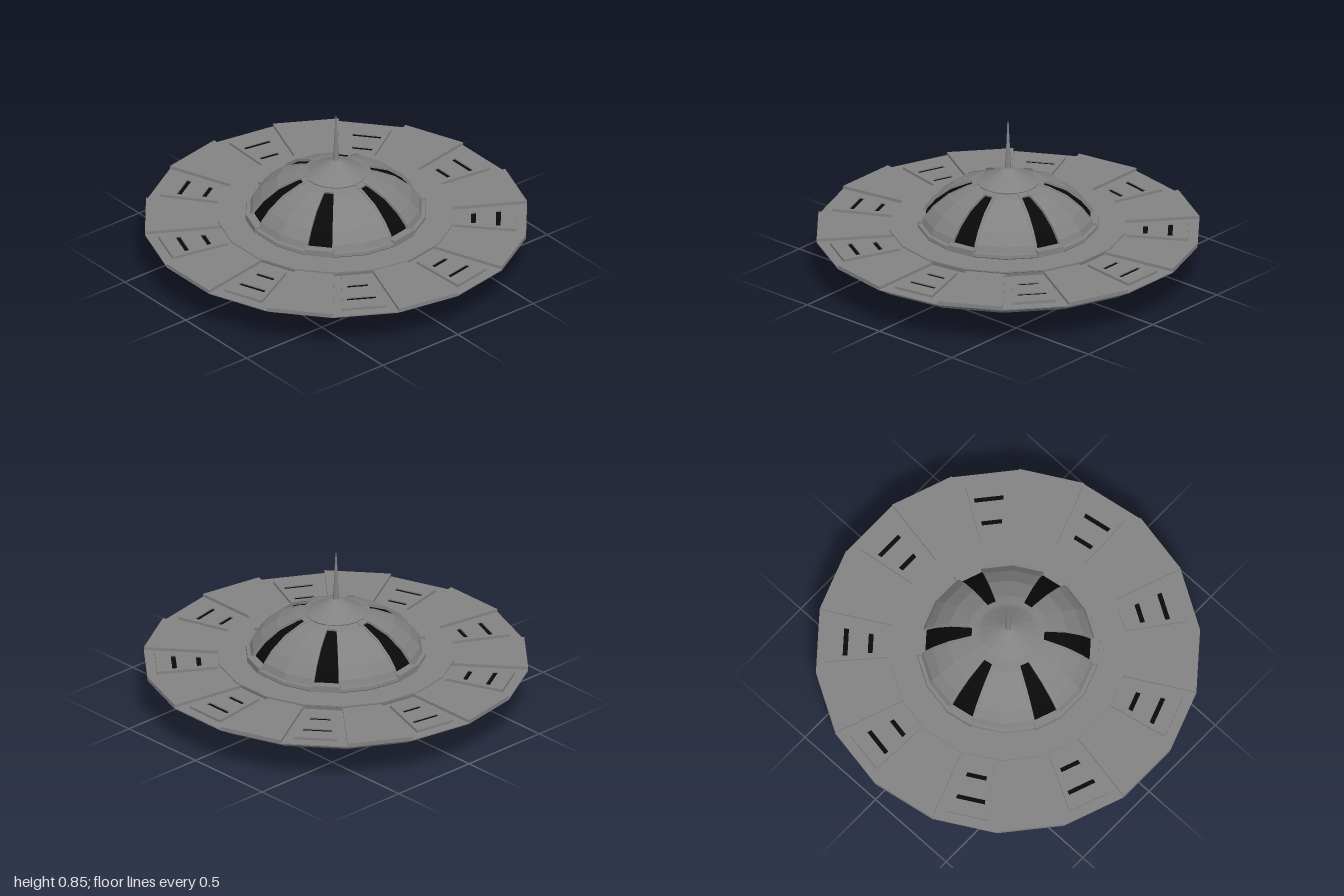
import * as THREE from 'three';

const SIDES = 18;
const rad = THREE.MathUtils.degToRad;
const grey = new THREE.MeshStandardMaterial({ color: 0x828282, flatShading: true });
const black = new THREE.MeshStandardMaterial({ color: 0x090909, flatShading: true, side: THREE.DoubleSide });
const vec = (pts) => pts.map(([x, y]) => new THREE.Vector2(x, y));

function mesh(name, geometry, material = grey) {
  const m = new THREE.Mesh(geometry, material);
  m.name = name;
  return m;
}

// Faceted turned part; profile points [radius, y] run from the bottom up
function turned(name, pts, material = grey) {
  return mesh(name, new THREE.LatheGeometry(vec(pts), SIDES, Math.PI / 2), material);
}

// Part of a turned shell, covering whole facets from a start angle
function shell(name, pts, startDeg, facets, material = grey) {
  const step = 360 / SIDES;
  return mesh(name, new THREE.LatheGeometry(vec(pts), facets, rad(startDeg), rad(step * facets)), material);
}

// Flat slab from a plan outline [x, distance toward the back], with optional holes
function slab(name, outline, y, height, holes = [], material = grey) {
  const shape = new THREE.Shape(vec(outline));
  holes.forEach((h) => shape.holes.push(new THREE.Path(vec(h))));
  const geo = new THREE.ExtrudeGeometry(shape, { depth: height, bevelEnabled: false });
  geo.rotateX(-Math.PI / 2).translate(0, y, 0);
  return mesh(name, geo, material);
}

const trapezoid = (w0, r0, w1, r1) => [[-w0, r0], [w0, r0], [w1, r1], [-w1, r1]];

// Repeats a part around the vertical axis
function ring(parent, name, count, startDeg, build) {
  for (let i = 0; i < count; i++) {
    const g = new THREE.Group();
    g.name = name;
    g.add(...build());
    g.rotation.y = rad(startDeg + (360 / count) * i);
    parent.add(g);
  }
}

export function createModel() {
  const model = new THREE.Group();
  model.name = 'saucer';

  // Hull: bowl, recessed underside, saucer disc
  model.add(turned('lowerHull', [
    [0, 0.015], [0.33, 0.015], [0.37, 0.075], [0.39, 0.075], [0.49, 0.167], [0.6, 0.167],
    [0.607, 0.14], [0.635, 0.14], [0.65, 0.176], [0.664, 0.176], [0.667, 0.165], [0.677, 0.165],
    [0.69, 0.182],
  ]));
  model.add(turned('undersideGap', [[0.645, 0.171], [0.667, 0.171]], black));
  model.add(turned('saucerDisc', [
    [0.69, 0.182], [0.92, 0.182], [0.985, 0.224], [1, 0.23], [1, 0.236], [0.58, 0.236],
  ]));

  // Overhanging deck ring and dome base
  model.add(turned('deckRing', [
    [0.585, 0.236], [0.59, 0.256], [0.617, 0.27], [0.617, 0.277], [0.465, 0.277],
    [0.47, 0.283], [0.468, 0.3], [0.42, 0.304],
  ]));

  // Raised deck plates between the equipment panels
  const s = Math.sin(rad(10)), c = Math.cos(rad(10));
  ring(model, 'deckPlate', 9, 20, () => [
    slab('plate', trapezoid(0.585 * s, 0.585 * c, s, c), 0.234, 0.018),
  ]);

  // Equipment panels with two dark slots each
  const slots = [trapezoid(0.052, 0.698, 0.055, 0.723), trapezoid(0.074, 0.827, 0.077, 0.852)];
  ring(model, 'equipmentPanel', 9, 0, () => [
    slab('panel', trapezoid(0.07, 0.612, 0.113, 0.932), 0.234, 0.016, slots),
    ...slots.map((o) => slab('slot', o, 0.234, 0.009, [], black)),
  ]);

  // Lights under the rim
  const lens = trapezoid(0.042, 0.797, 0.042, 0.818);
  ring(model, 'undersideLight', 9, 0, () => [
    slab('lightFrame', trapezoid(0.055, 0.785, 0.055, 0.83), 0.16, 0.024, [lens]),
    slab('lightSlot', lens, 0.17, 0.012, [], black),
  ]);

  // Belly hatch and landing pads
  const hatch = mesh('bellyHatch', new THREE.CylinderGeometry(0.12, 0.12, 0.016, 24));
  hatch.position.y = 0.008;
  model.add(hatch);
  const padSlots = [trapezoid(0.024, 0.19, 0.024, 0.198), trapezoid(0.024, 0.206, 0.024, 0.214)];
  ring(model, 'landingPad', 4, 14, () => [
    slab('pad', trapezoid(0.032, 0.182, 0.032, 0.222), 0.003, 0.014, padSlots),
  ]);

  // Dome: two solid facets, then one recessed window facet with ribs, sill and head
  const dome = [[0.45, 0.3], [0.437, 0.335], [0.39, 0.392], [0.31, 0.455], [0.21, 0.498], [0.14, 0.512]];
  const pane = dome.map(([r, y]) => [r * 0.975, y - 0.008]);
  const head = [[0.185, 0.488], [0.19, 0.504], [0.14, 0.514]];
  const ribShape = new THREE.Shape(vec([
    ...dome.map(([r, y]) => [r * 0.995 + 0.002, y + 0.004]),
    ...dome.map(([r, y]) => [r * 0.94, y - 0.02]).reverse(),
  ]));
  const ribGeo = new THREE.ExtrudeGeometry(ribShape, { depth: 0.012, bevelEnabled: false });
  ribGeo.translate(0, 0, -0.006);
  ring(model, 'domeSection', 6, 10, () => {
    const ribs = [-9.2, 9.2].map((deg) => {
      const rib = mesh('windowRib', ribGeo);
      rib.rotation.y = rad(deg);
      return rib;
    });
    const sill = mesh('windowSill', new THREE.BoxGeometry(0.044, 0.034, 0.15));
    sill.position.set(0.447, 0.298, 0);
    return [
      shell('domePanel', dome, 100, 2), shell('windowPane', pane, 80, 1, black),
      shell('windowHead', head, 80, 1), sill, ...ribs,
    ];
  });

  // Cap and antenna
  model.add(turned('domeCap', [
    [0.13, 0.5], [0.155, 0.503], [0.16, 0.516], [0.145, 0.522], [0.03, 0.586], [0, 0.597],
  ]));
  const antenna = mesh('antenna', new THREE.CylinderGeometry(0.003, 0.016, 0.265, 8));
  antenna.position.y = 0.72;
  model.add(antenna);

  return model;
}
